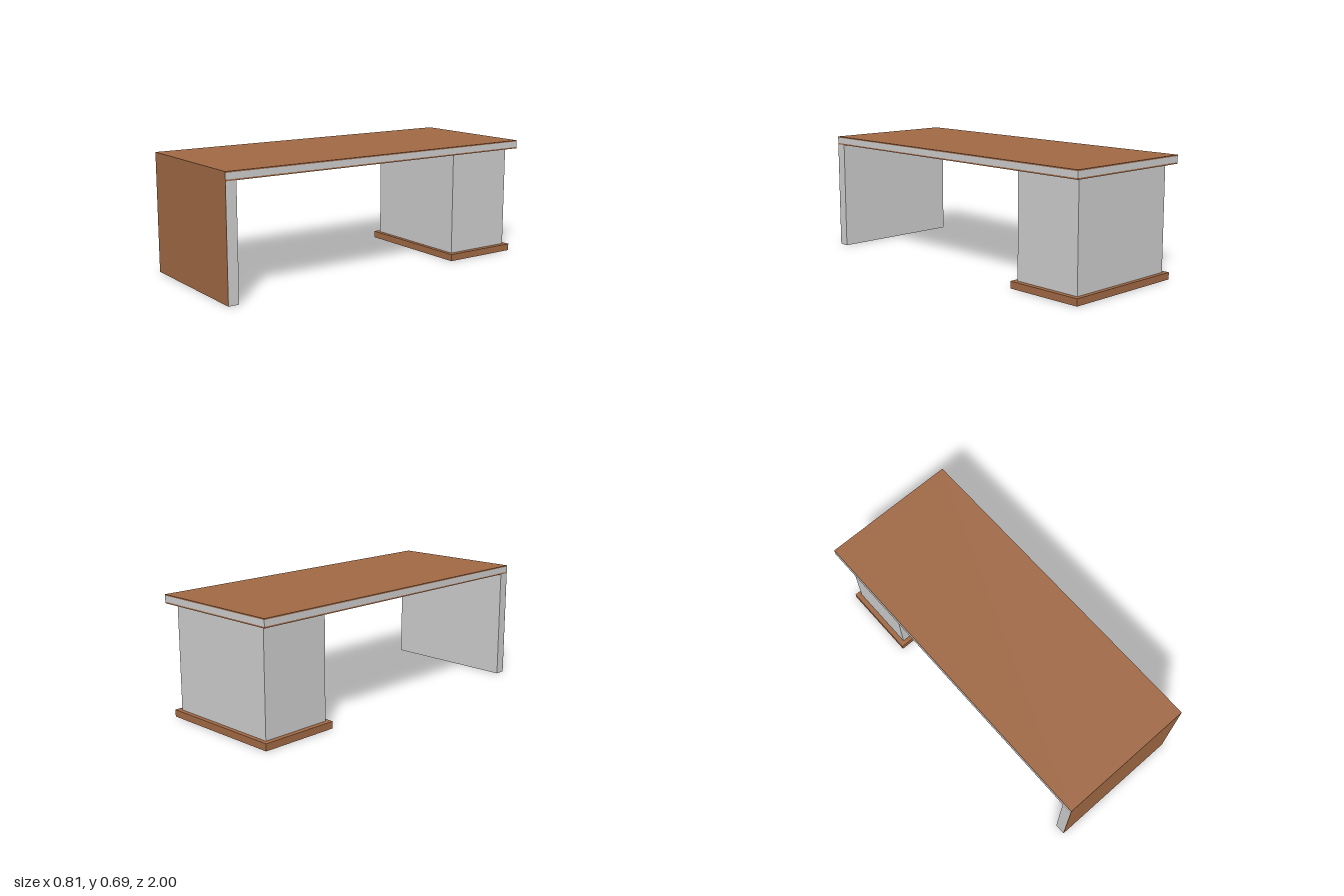
import * as THREE from 'three';

const wood = new THREE.MeshStandardMaterial({ color: 0x9f6844 });
const grey = new THREE.MeshStandardMaterial({ color: 0xcccccc });

// Box given by its half width and its y and z ranges, centred on x = 0
function slab(name, material, halfWidth, [y0, y1], [z0, z1]) {
  const geometry = new THREE.BoxGeometry(halfWidth * 2, y1 - y0, z1 - z0);
  const mesh = new THREE.Mesh(geometry, material);
  mesh.name = name;
  mesh.position.set(0, (y0 + y1) / 2, (z0 + z1) / 2);
  return mesh;
}

export function createModel() {
  const desk = new THREE.Group();
  desk.name = 'desk';
  const w = 0.405, veneer = 0.998;

  // Desktop: grey core between two wooden sheets
  const top = new THREE.Group();
  top.name = 'desktop';
  top.add(
    slab('topSheet', wood, w, [0.683, 0.69], [-1, veneer]),
    slab('core', grey, w, [0.649, 0.683], [-1, veneer]),
    slab('bottomSheet', wood, w, [0.641, 0.649], [-1, veneer]),
  );

  // Panel leg, with a wooden facing that also covers the desktop's front edge
  const leg = new THREE.Group();
  leg.name = 'panelLeg';
  leg.add(
    slab('legPanel', grey, w, [0, 0.641], [0.938, veneer]),
    slab('frontFacing', wood, w, [0, 0.69], [veneer, 1]),
  );

  // Pedestal on a slightly wider wooden plinth
  const pedestal = new THREE.Group();
  pedestal.name = 'pedestal';
  pedestal.add(
    slab('cabinet', grey, 0.35, [0.04, 0.641], [-0.96, -0.54]),
    slab('plinth', wood, 0.38, [0, 0.04], [-0.985, -0.515]),
  );

  desk.add(top, leg, pedestal);
  return desk;
}
